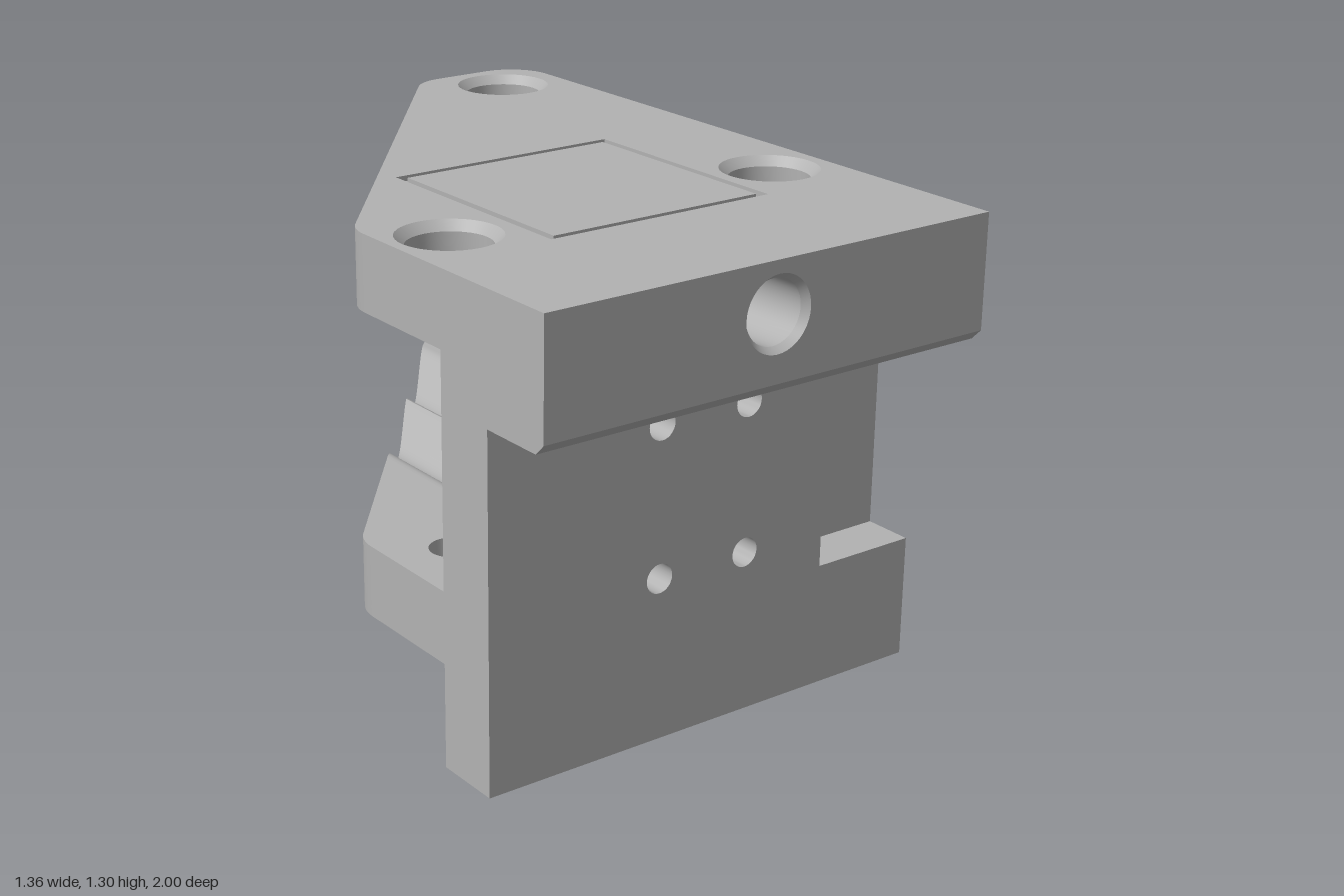
import * as THREE from 'three';
import { toCreasedNormals } from 'three/addons/utils/BufferGeometryUtils.js';

const W = 0.68;            // half width
const WALL = 0.59;         // rear face of the upright wall
const BOLTS = [[0.49, -0.825], [-0.515, 0.385], [0.51, 0.37]];
const WIRES = [-0.165, 0.11];

export function createModel() {
  const group = new THREE.Group();
  const metal = new THREE.MeshStandardMaterial({ color: 0xb2b2b2, side: THREE.DoubleSide });

  const add = (name, geo) => {
    const mesh = new THREE.Mesh(toCreasedNormals(geo, 0.5), metal);
    mesh.name = name;
    group.add(mesh);
    return mesh;
  };
  const ring = (x, y, r, sides = 40, start = 0) => Array.from({ length: sides }, (_, i) => {
    const a = start + i / sides * Math.PI * 2;
    return new THREE.Vector2(x + r * Math.cos(a), y + r * Math.sin(a));
  });
  const rect = (x0, y0, x1, y1) => [[x0, y0], [x1, y0], [x1, y1], [x0, y1]].map(p => new THREE.Vector2(...p));
  const extrude = (pts, holes, depth) => {
    const shape = new THREE.Shape(pts);
    holes.forEach(h => shape.holes.push(new THREE.Path(h)));
    return new THREE.ExtrudeGeometry(shape, { depth, bevelEnabled: false });
  };
  // Slab facing the front, drawn in x and y
  const slabZ = (name, pts, holes, z0, z1) => add(name, extrude(pts, holes, z1 - z0).translate(0, 0, z0));
  // Horizontal slab, drawn in x and -z
  const slabY = (name, pts, holes, y0, y1) =>
    add(name, extrude(pts, holes, y1 - y0).rotateX(-Math.PI / 2).translate(0, y0, 0));
  const lathe = pts => new THREE.LatheGeometry(pts.map(p => new THREE.Vector2(...p)), 40);
  const boltRings = (r, sides, start, list = BOLTS) => list.map(([x, z]) => ring(x, -z, r, sides, start));

  // Plate outline with three rounded corners
  const corners = [[-W, -WALL], [W, -WALL], [W, 1], [0.31, 1], [-W, -0.213]].map(p => new THREE.Vector2(...p));
  const outline = [];
  corners.forEach((c, i) => {
    if (i < 2) { outline.push(c); return; }
    const u = corners[i - 1].clone().sub(c).normalize();
    const v = corners[(i + 1) % 5].clone().sub(c).normalize();
    const half = Math.acos(u.dot(v)) / 2, r = 0.13, t = r / Math.tan(half);
    const center = c.clone().add(u.clone().add(v).normalize().multiplyScalar(r / Math.sin(half)));
    const a = c.clone().addScaledVector(u, t).sub(center);
    const sweep = Math.PI - 2 * half;
    for (let k = 0; k <= 10; k++)
      outline.push(a.clone().rotateAround(new THREE.Vector2(), sweep * k / 10).add(center));
  });
  // Keeps the part of the outline on one side of a line of constant x
  const clipX = (x, sign) => {
    const out = [];
    outline.forEach((p, i) => {
      const q = outline[(i + 1) % outline.length];
      const pin = (p.x - x) * sign >= 0, qin = (q.x - x) * sign >= 0;
      if (pin) out.push(p);
      if (pin !== qin) out.push(p.clone().lerp(q, (x - p.x) / (q.x - p.x)));
    });
    return out;
  };

  // Upper plate with a shallow square groove and counterbored bolt holes
  slabY('upperPlate', outline, boltRings(0.135), 1.1, 1.285);
  slabY('upperPlateSurface', outline, [...boltRings(0.135), rect(-0.34, -0.56, 0.34, 0.125)], 1.285, 1.3);
  slabY('squareInset', rect(-0.318, -0.54, 0.318, 0.103), [], 1.285, 1.3);
  BOLTS.forEach(([x, z]) => {
    add('boltCounterbore', lathe([[0.135, 1.3], [0.11, 1.275], [0.11, 1.2], [0.085, 1.2],
      [0.062, 1.175], [0.062, 1.1], [0.135, 1.1]])).position.set(x, 0, z);
  });

  // Front lip with a chamfered lower edge and a blind hole
  const socket = ring(0, 1.165, 0.1);
  slabZ('frontLip', rect(-W, 0.96, W, 1.3), [socket], WALL, 0.97);
  slabZ('frontLipFace', rect(-W, 0.99, W, 1.3), [socket], 0.97, 1);
  const wedge = extrude([[0, 0.96], [0, 0.99], [0.03, 0.99]].map(p => new THREE.Vector2(...p)), [], 2 * W);
  add('lipChamfer', wedge.rotateY(-Math.PI / 2).translate(W, 0, 0.97));
  group.children.at(-1).geometry.computeBoundingBox();
  add('frontSocket', lathe([[0.1, 1], [0.085, 0.98], [0.085, 0.8], [0.07, 0.8], [0.07, 0.65], [0, 0.65]])
    .rotateX(Math.PI / 2)).position.set(0, 1.165, 0);

  // Upright wall with four wire holes and a filleted side recess
  const wireRings = r => WIRES.flatMap(x => [0.447, 0.855].map(y => ring(x, y, r, 28)));
  slabZ('wallRear', rect(-W, 0, W, 0.96), wireRings(0.056), WALL, 0.61);
  slabZ('wallCore', rect(-W, 0, W, 0.96), wireRings(0.04), 0.61, 0.64);
  const wallFront = [[-W, 0], [W, 0], [W, 0.34], [0.37, 0.34], [0.37, 0.96], [-W, 0.96]];
  slabZ('wallFront', wallFront.map(p => new THREE.Vector2(...p)), wireRings(0.04), 0.64, 0.78);
  const fillet = [new THREE.Vector2(0.37, -0.64)];
  for (let k = 0; k <= 12; k++) {
    const a = k / 12 * Math.PI / 2;
    fillet.push(new THREE.Vector2(0.47 - 0.1 * Math.sin(a), -0.74 + 0.1 * Math.cos(a)));
  }
  slabY('recessFillet', fillet, [], 0.34, 0.96);

  // Lower plate: hexagonal nut pockets below, bolt holes above
  const hex = r => boltRings(r, 6, Math.PI / 6);
  slabY('lowerPlateBottom', outline, hex(0.135), 0.285, 0.315);
  slabY('lowerPlateMiddle', outline, hex(0.105), 0.315, 0.365);
  BOLTS.forEach(([x, z]) => add('nutPocketChamfer',
    new THREE.CylinderGeometry(0.105, 0.135, 0.03, 6, 1, true)).position.set(x, 0.3, z));
  const x0 = -0.325, x1 = 0.27;
  slabY('lowerPlateLeft', clipX(x1, 1), boltRings(0.062, 40, 0, [BOLTS[0], BOLTS[2]]), 0.365, 0.48);
  slabY('lowerPlateRight', clipX(x0, -1), boltRings(0.062, 40, 0, [BOLTS[1]]), 0.365, 0.48);

  // Twin rounded channels running along the lower plate to its slanted edge
  const height = x => {
    const d = Math.min(...WIRES.map(w => Math.abs(x - w)));
    return 0.43 - 0.05 * Math.cos(Math.PI * Math.min(1, d / 0.155));
  };
  const slant = x => -1 + (0.31 - x) * 1.213 / 0.99;
  const pos = [], N = 60;
  const quad = (a, b, c, d) => pos.push(...a, ...b, ...c, ...a, ...c, ...d);
  for (let i = 0; i < N; i++) {
    const a = x0 + (x1 - x0) * i / N, b = x0 + (x1 - x0) * (i + 1) / N;
    const ha = height(a), hb = height(b), za = slant(a), zb = slant(b);
    quad([a, ha, WALL], [b, hb, WALL], [b, hb, zb], [a, ha, za]);
    quad([a, ha, za], [b, hb, zb], [b, 0.365, zb], [a, 0.365, za]);
  }
  const channels = new THREE.BufferGeometry();
  channels.setAttribute('position', new THREE.Float32BufferAttribute(pos, 3));
  add('wireChannels', channels);

  return group;
}
